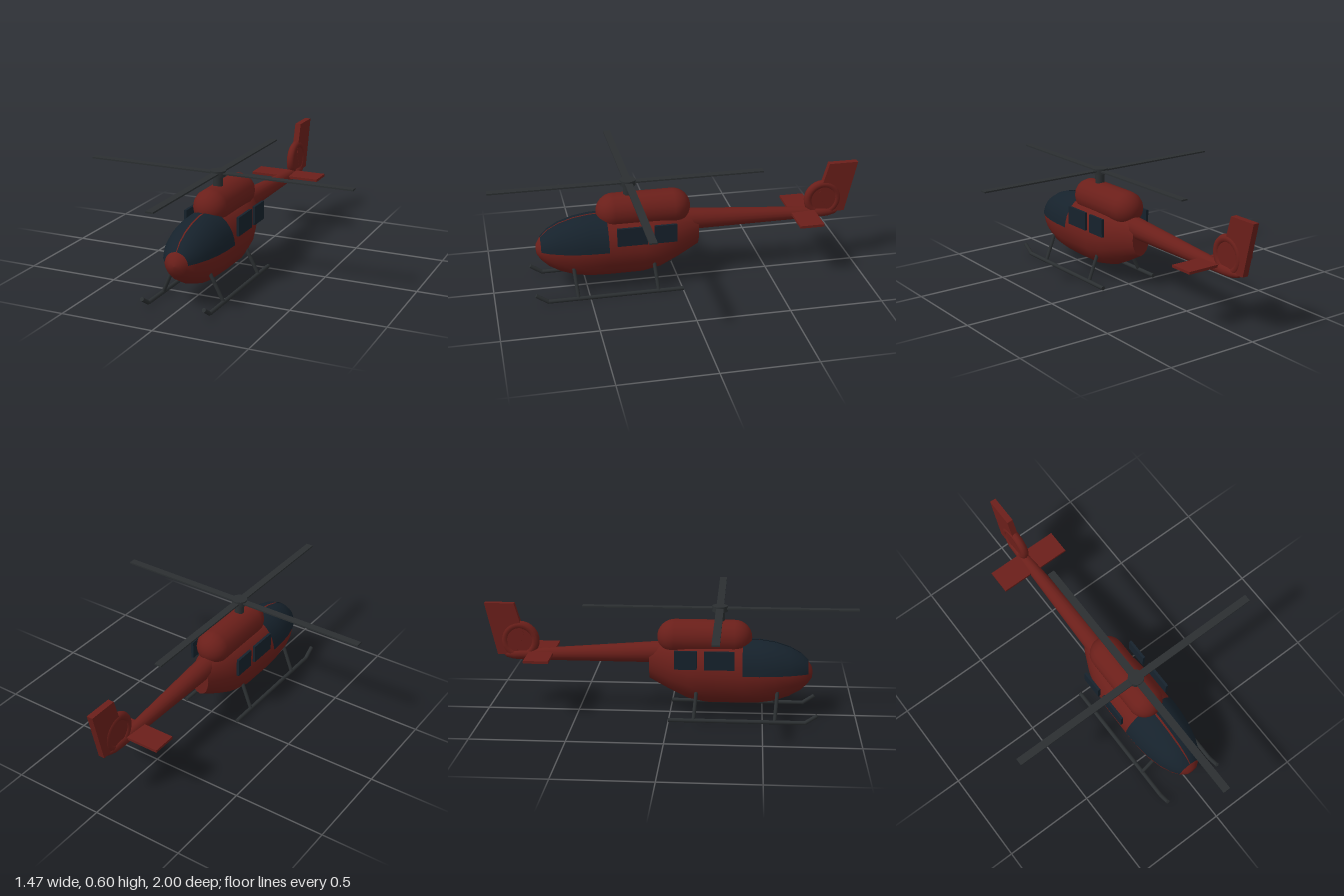
import * as THREE from 'three';

const red = new THREE.MeshStandardMaterial({ color: 0x6b1f1a });
const glass = new THREE.MeshStandardMaterial({ color: 0x16222c, side: THREE.DoubleSide });
const metal = new THREE.MeshStandardMaterial({ color: 0x2b2f31 });

// Elliptical sections from nose to tail: [z, top, bottom, half width]
const HULL = [
  [0.765, 0.245, 0.245, 0], [0.761, 0.274, 0.217, 0.03], [0.74, 0.308, 0.185, 0.06],
  [0.7, 0.347, 0.147, 0.09], [0.64, 0.38, 0.113, 0.117], [0.56, 0.405, 0.085, 0.137],
  [0.48, 0.417, 0.073, 0.147], [0.39, 0.42, 0.07, 0.15], [0.2, 0.42, 0.07, 0.148],
  [0.1, 0.418, 0.09, 0.135], [0, 0.408, 0.137, 0.105],
  [-0.11, 0.39, 0.195, 0.055], [-0.11, 0.39, 0.195, 0.055], [-0.11, 0.29, 0.29, 0],
];
const BOOM = [
  [0.1, 0.4, 0.285, 0.058], [-0.08, 0.4, 0.285, 0.056], [-0.8, 0.343, 0.285, 0.028],
  [-0.85, 0.34, 0.288, 0.026], [-0.89, 0.334, 0.298, 0.018], [-0.91, 0.317, 0.317, 0],
];

// Skin through the sections between two angles, pushed outwards by grow
function loft(sections, segs = 16, from = 0, to = 360, grow = 0) {
  const closed = to - from === 360;
  const cols = closed ? segs : segs + 1;
  const pos = [], index = [];
  sections.forEach(([z, top, bottom, rx], i) => {
    for (let j = 0; j < cols; j++) {
      const a = THREE.MathUtils.degToRad(from + ((to - from) * j) / segs);
      const ry = (top - bottom) / 2 + grow;
      pos.push((rx + grow) * Math.cos(a), (top + bottom) / 2 + ry * Math.sin(a), z);
    }
    if (i === 0) return;
    for (let j = 0; j < segs; j++) {
      const k = (j + 1) % cols, p = (i - 1) * cols, q = i * cols;
      index.push(p + j, q + j, p + k, p + k, q + j, q + k);
    }
  });
  const g = new THREE.BufferGeometry();
  g.setAttribute('position', new THREE.Float32BufferAttribute(pos, 3));
  g.setIndex(index);
  g.computeVertexNormals();
  return g;
}

// Round bar between two points
function bar(a, b, r) {
  const va = new THREE.Vector3(...a), dir = new THREE.Vector3(...b).sub(va);
  const g = new THREE.CylinderGeometry(r, r, dir.length(), 10);
  g.translate(0, dir.length() / 2, 0);
  g.applyQuaternion(new THREE.Quaternion().setFromUnitVectors(
    new THREE.Vector3(0, 1, 0), dir.normalize()));
  return g.translate(va.x, va.y, va.z);
}

export function createModel() {
  const model = new THREE.Group();
  model.name = 'helicopter';
  const add = (name, geometry, material, x = 0, y = 0, z = 0) => {
    const mesh = new THREE.Mesh(geometry, material);
    mesh.name = name;
    mesh.position.set(x, y, z);
    model.add(mesh);
    return mesh;
  };

  // Body, tail boom and engine cowling
  add('fuselage', loft(HULL), red);
  add('tailBoom', loft(BOOM), red);
  const cowling = new THREE.CapsuleGeometry(0.094, 0.32, 8, 16).rotateX(Math.PI / 2);
  add('engineCowling', cowling, red, 0, 0.431, 0.185);

  // Windscreen halves either side of a narrow centre post
  const screen = HULL.slice(2, 8);
  add('windscreenLeft', loft(screen, 8, 4, 88, 0.004), glass);
  add('windscreenRight', loft(screen, 8, 92, 176, 0.004), glass);

  // Main rotor
  add('rotorMast', new THREE.CylinderGeometry(0.026, 0.026, 0.1, 16), metal, 0, 0.54, 0.265);
  add('rotorHub', new THREE.CylinderGeometry(0.042, 0.042, 0.03, 16), metal, 0, 0.588, 0.265);
  add('rotorBladesLong', new THREE.BoxGeometry(0.04, 0.008, 1.47), metal, 0, 0.59, 0.265);
  add('rotorBladesCross', new THREE.BoxGeometry(1.47, 0.008, 0.04), metal, 0, 0.59, 0.265);

  for (const [side, s] of [['Left', 1], ['Right', -1]]) {
    // Side windows
    add('frontWindow' + side, new THREE.BoxGeometry(0.014, 0.1, 0.16), glass, s * 0.149, 0.341, 0.268);
    add('rearWindow' + side, new THREE.BoxGeometry(0.014, 0.1, 0.12), glass, s * 0.149, 0.341, 0.09);

    // Landing skid with turned-up toe and two struts
    const x = s * 0.17;
    add('skid' + side, bar([x, 0.015, 0], [x, 0.015, 0.73], 0.011), metal);
    add('skidToe' + side, bar([x, 0.015, 0.725], [x, 0.057, 0.788], 0.011), metal);
    for (const z of [0.565, 0.135]) {
      add('skidStrut' + side, bar([x, 0.015, z], [s * 0.1, 0.165, z + 0.012], 0.01), metal);
    }
  }

  // Tailplane
  add('tailplane', new THREE.BoxGeometry(0.406, 0.014, 0.133), red, 0, 0.329, -0.697);

  // Shrouded tail rotor
  add('tailRotorShroud', new THREE.TorusGeometry(0.083, 0.023, 10, 28).rotateY(Math.PI / 2),
    red, 0, 0.395, -0.813);
  add('tailRotorDisc', new THREE.CylinderGeometry(0.068, 0.068, 0.03, 28).rotateZ(Math.PI / 2),
    red, 0, 0.395, -0.813);

  // Swept fin
  const fin = new THREE.Shape([[-0.84, 0.6], [-1, 0.6], [-0.935, 0.317], [-0.84, 0.317],
    [-0.79, 0.43]].map(([z, y]) => new THREE.Vector2(z, y)));
  const finGeometry = new THREE.ExtrudeGeometry(fin, { depth: 0.034, bevelEnabled: false });
  add('tailFin', finGeometry.translate(0, 0, -0.017).rotateY(-Math.PI / 2), red);

  return model;
}
